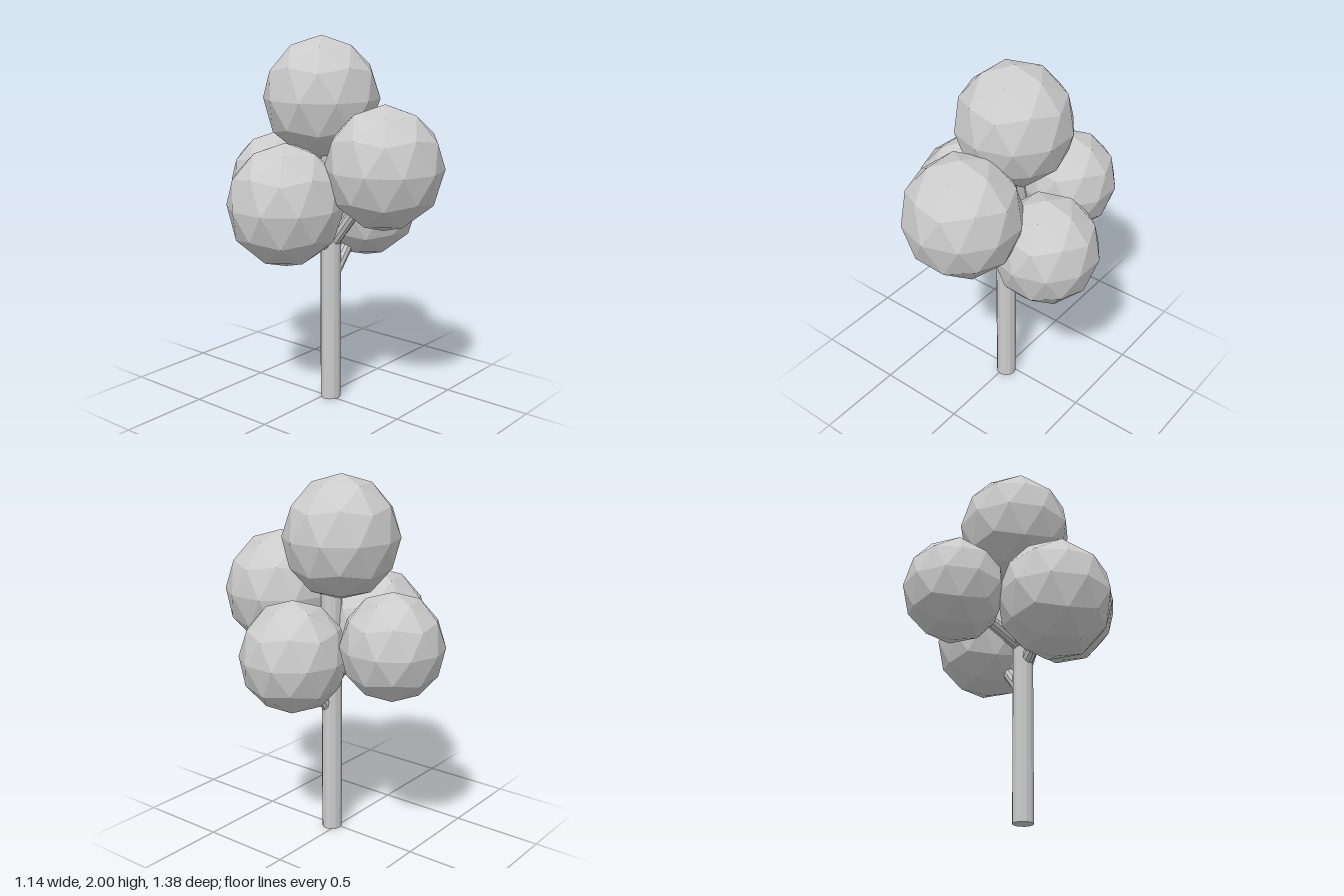
import * as THREE from 'three';

export function createModel() {
  const tree = new THREE.Group();
  tree.name = 'tree';
  const material = new THREE.MeshStandardMaterial({ color: 0xcccccc, flatShading: true });
  const up = new THREE.Vector3(0, 1, 0);

  // Straight round limb between two points
  function addLimb(name, from, to, radius, sides) {
    const a = new THREE.Vector3(...from);
    const b = new THREE.Vector3(...to);
    const dir = b.clone().sub(a);
    const mesh = new THREE.Mesh(new THREE.CylinderGeometry(radius, radius, dir.length(), sides), material);
    mesh.position.copy(a).add(b).multiplyScalar(0.5);
    mesh.quaternion.setFromUnitVectors(up, dir.normalize());
    mesh.name = name;
    tree.add(mesh);
  }

  // Faceted ball of leaves, turned so that one vertex is its pole
  const ball = new THREE.IcosahedronGeometry(1, 1);
  ball.rotateZ(-Math.atan(2 / (1 + Math.sqrt(5))));
  function addFoliage(name, centre, radius) {
    const mesh = new THREE.Mesh(ball, material);
    mesh.position.set(...centre);
    mesh.scale.set(radius, radius * 1.053, radius);
    mesh.name = name;
    tree.add(mesh);
  }

  addLimb('trunk', [0.013, 0, 0.03], [0.013, 1.45, 0.03], 0.056, 12);
  addFoliage('topFoliage', [0.015, 1.673, -0.036], 0.311);

  // Side clumps, each carried by a branch from the trunk
  const clumps = [
    ['front', [0.015, 1.342, 0.38], 0.311, [0.013, 0.89, 0.04]],
    ['right', [-0.273, 1.14, -0.038], 0.311, [0.0, 0.87, 0.03]],
    ['left', [0.297, 1.076, 0.058], 0.287, [0.02, 0.71, 0.04]],
    ['back', [0.093, 1.17, -0.423], 0.27, [0.015, 0.97, 0.02]],
  ];
  for (const [side, centre, radius, root] of clumps) {
    addFoliage(side + 'Foliage', centre, radius);
    addLimb(side + 'Branch', root, centre, 0.034, 10);
  }
  return tree;
}
